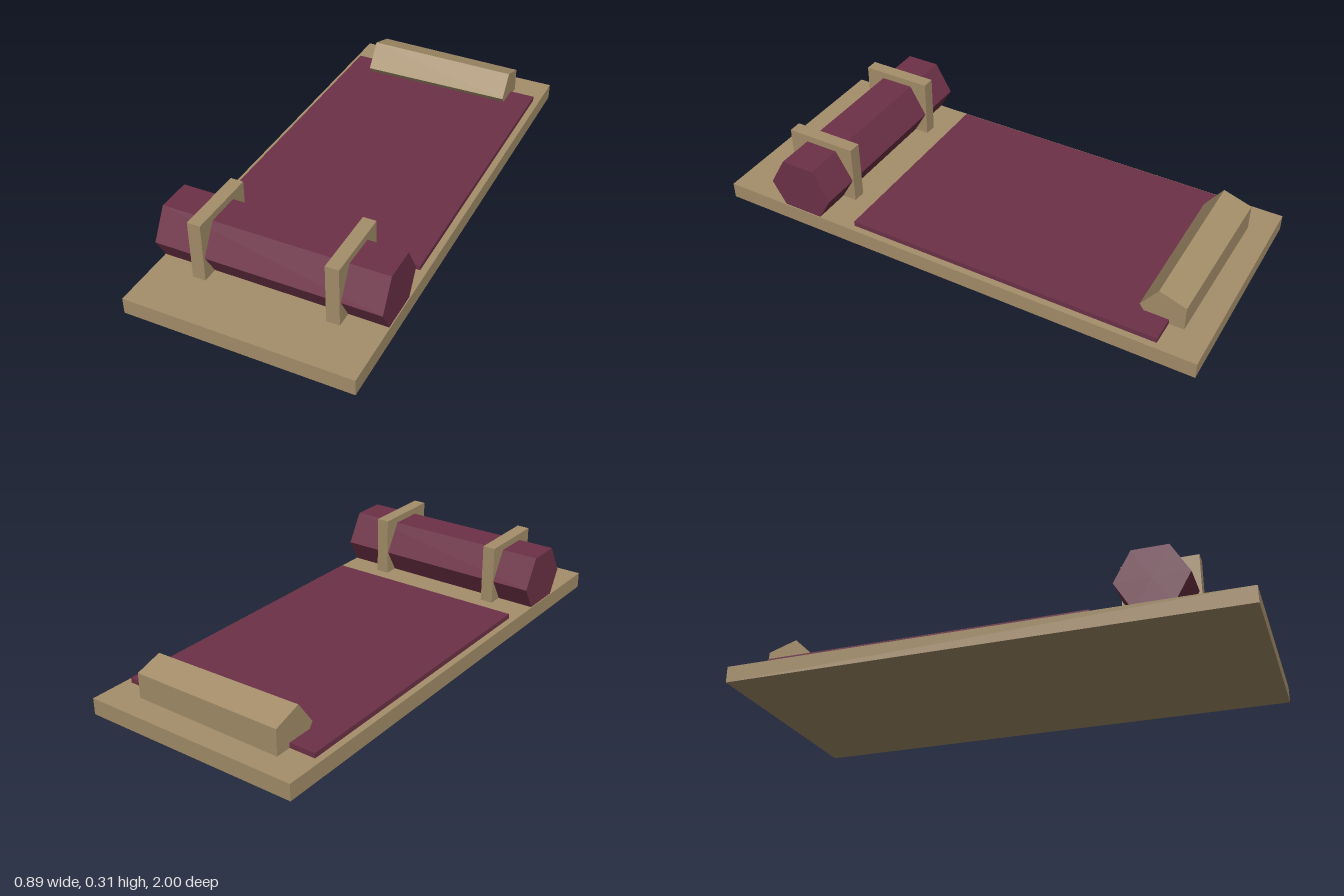
import * as THREE from 'three';

export function createModel() {
  const model = new THREE.Group();
  const wood = new THREE.MeshStandardMaterial({ color: 0xa58e6a });
  wood.name = 'tan';
  const cloth = new THREE.MeshStandardMaterial({ color: 0x6d3147 });
  cloth.name = 'maroon';

  const add = (name, geometry, material, x, y, z) => {
    const mesh = new THREE.Mesh(geometry, material);
    mesh.name = name;
    mesh.position.set(x, y, z);
    model.add(mesh);
  };
  // Box given by its bottom and top heights
  const box = (name, material, w, y0, y1, d, x, z) =>
    add(name, new THREE.BoxGeometry(w, y1 - y0, d), material, x, (y0 + y1) / 2, z);
  // Faceted prism lying along x, with one corner pointing to +z
  const prism = (rRight, rLeft, length, sides) => {
    const g = new THREE.CylinderGeometry(rRight, rLeft, length, sides).rotateZ(-Math.PI / 2).toNonIndexed();
    g.computeVertexNormals();
    return g;
  };

  // Bed board and mat
  box('baseBoard', wood, 0.894, 0, 0.065, 2, 0, 0);
  box('mat', cloth, 0.842, 0.06, 0.085, 1.262, 0, -0.211);

  // Rolled blanket held by two straps
  add('blanketRoll', prism(0.137, 0.137, 0.886, 6), cloth, 0, 0.159, 0.65);
  for (const side of [-1, 1]) {
    box(side > 0 ? 'strapLeft' : 'strapRight', wood, 0.052, 0.06, 0.306, 0.288, side * 0.264, 0.652);
  }

  // Five-sided, slightly tapered headrest sunk into the board
  add('headrest', prism(0.095, 0.102, 0.632, 5), wood, 0, 0.108, -0.823);

  return model;
}
